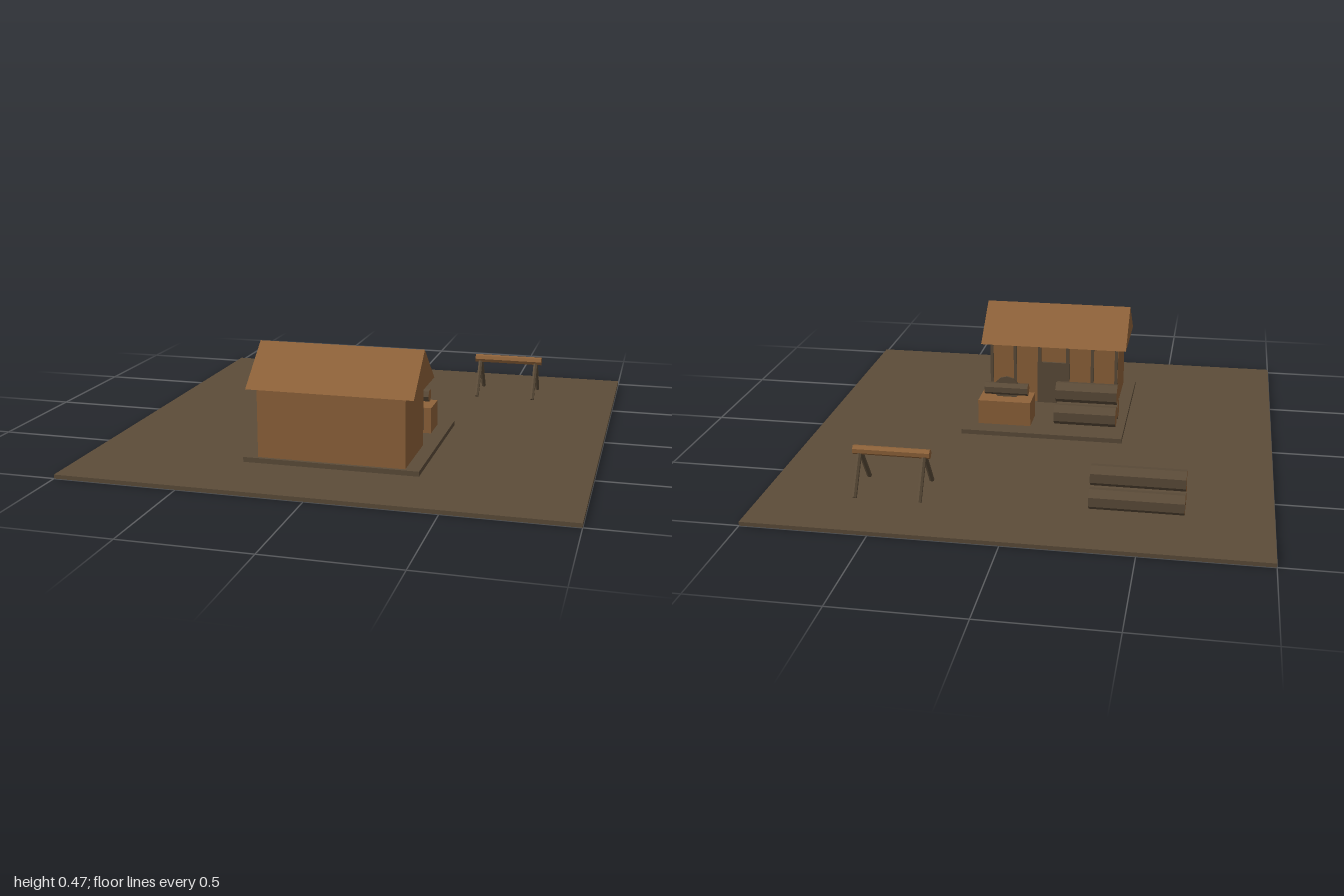
import * as THREE from 'three';

export function createModel() {
  const root = new THREE.Group();
  root.name = 'sawmillYard';
  const mat = (name, color) => {
    const m = new THREE.MeshStandardMaterial({ color, flatShading: true });
    m.name = name;
    return m;
  };
  const wood = mat('warm wood', 0x8f633a);
  const bark = mat('dark bark', 0x5c4c39);

  const add = (name, geometry, material, parent = root) => {
    const mesh = new THREE.Mesh(geometry, material);
    mesh.name = name;
    parent.add(mesh);
    return mesh;
  };
  // Box given by its lower and upper limits on each axis
  const box = (name, x0, x1, y0, y1, z0, z1, material, parent) => {
    const mesh = add(name, new THREE.BoxGeometry(x1 - x0, y1 - y0, z1 - z0), material, parent);
    mesh.position.set((x0 + x1) / 2, (y0 + y1) / 2, (z0 + z1) / 2);
  };
  // Seven-sided log lying along x
  const log = (name, x0, x1, y, z, r, material, parent) => {
    const geometry = new THREE.CylinderGeometry(r, r, x1 - x0, 7).rotateZ(Math.PI / 2);
    add(name, geometry, material, parent).position.set((x0 + x1) / 2, y, z);
  };
  const group = (name) => {
    const g = new THREE.Group();
    g.name = name;
    root.add(g);
    return g;
  };

  // Ground and platform
  box('ground', -1, 1, 0, 0.016, -1, 1, bark);
  box('platform', -0.355, 0.355, 0.016, 0.036, -0.042, 0.67, bark);

  // Shed with posts and a door on its back face
  const shed = group('shed');
  box('walls', -0.298, 0.298, 0.036, 0.316, 0.343, 0.655, wood, shed);
  for (const x of [-0.29, -0.18, -0.065, 0.065, 0.18, 0.29]) {
    box('wallPost', x - 0.007, x + 0.007, 0.036, 0.316, 0.334, 0.343, bark, shed);
  }
  box('door', -0.075, 0.075, 0.036, 0.235, 0.333, 0.342, bark, shed);

  // Gable roof: triangle in z-y, extruded along x
  const gable = new THREE.Shape([
    new THREE.Vector2(-0.186, 0),
    new THREE.Vector2(0.186, 0),
    new THREE.Vector2(0, 0.155),
  ]);
  const roofGeometry = new THREE.ExtrudeGeometry(gable, { depth: 0.67, bevelEnabled: false });
  roofGeometry.translate(0, 0, -0.335).rotateY(Math.PI / 2);
  add('roof', roofGeometry, wood, shed).position.set(0, 0.316, 0.495);

  // Log piles: two below, one on top
  const pile = (name, x0, x1, y, z, r) => {
    const g = group(name);
    for (const [dy, dz] of [[0, -1.05], [0, 1.05], [1.85, 0]]) {
      log('log', x0, x1, y + dy * r, z + dz * r, r, [bark, wood, wood], g);
    }
  };
  pile('platformLogs', -0.317, -0.042, 0.083, 0.145, 0.047);
  pile('yardLogs', -0.66, -0.292, 0.06, -0.632, 0.043);

  // Saw bench with a log and a round blade
  const bench = group('sawBench');
  box('benchBody', 0.06, 0.295, 0.036, 0.146, 0.04, 0.172, wood, bench);
  log('benchLog', 0.08, 0.275, 0.183, 0.108, 0.028, [bark, wood, wood], bench);
  const blade = new THREE.CylinderGeometry(0.058, 0.058, 0.008, 12).rotateX(Math.PI / 2);
  add('sawBlade', blade, bark, bench).position.set(0.177, 0.183, 0.108);

  // Sawhorse with splayed legs
  const horse = group('sawhorse');
  log('beam', 0.343, 0.656, 0.18, -0.636, 0.019, wood, horse);
  for (const x of [0.367, 0.629]) {
    for (const side of [-1, 1]) {
      const top = new THREE.Vector3(x, 0.18, -0.636);
      const foot = new THREE.Vector3(x, 0.018, -0.636 + side * 0.103);
      const axis = top.clone().sub(foot);
      const leg = add('leg', new THREE.CylinderGeometry(0.01, 0.01, axis.length(), 6), bark, horse);
      leg.position.copy(top).add(foot).multiplyScalar(0.5);
      leg.quaternion.setFromUnitVectors(new THREE.Vector3(0, 1, 0), axis.normalize());
    }
  }
  return root;
}
